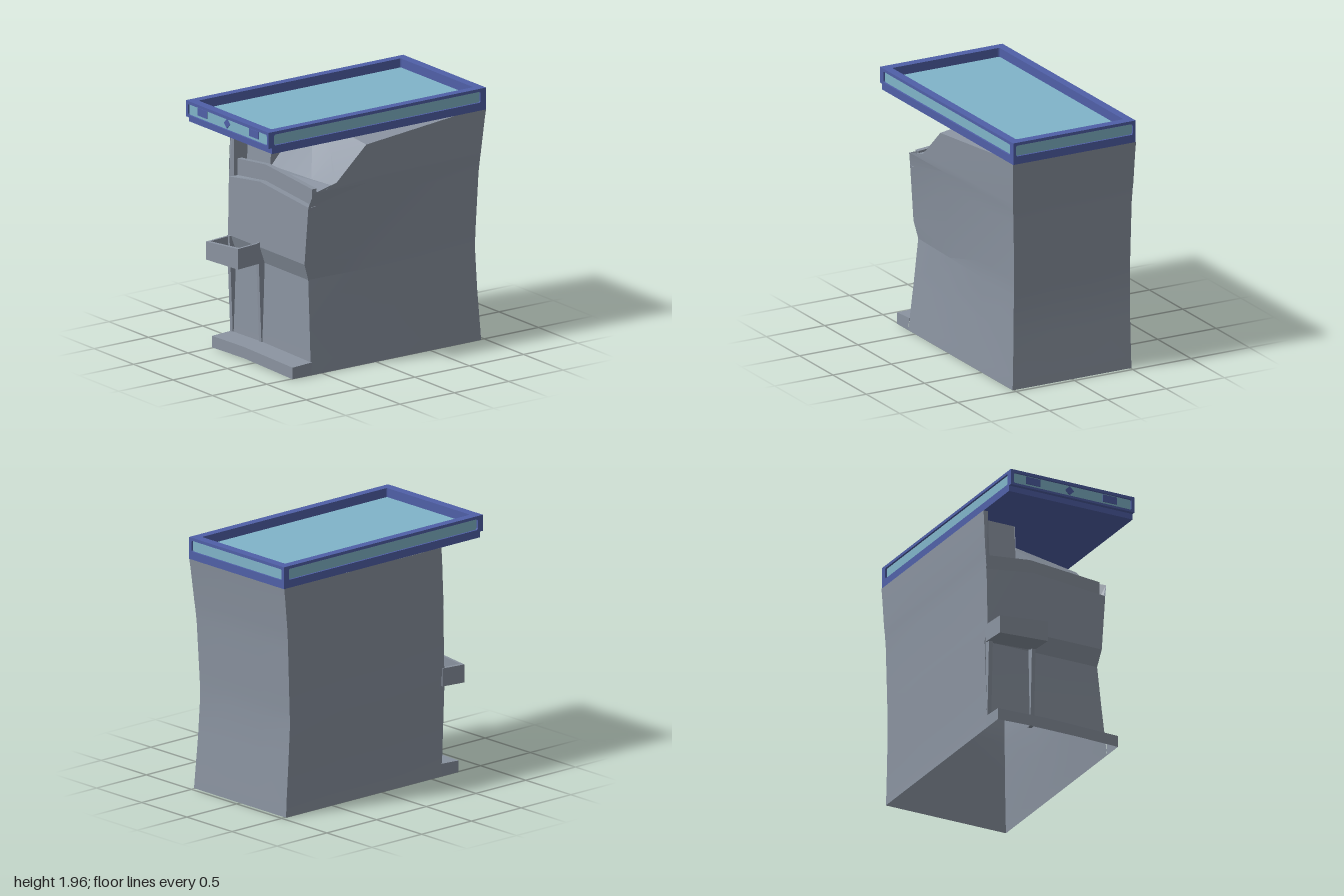
import * as THREE from 'three';
import { toCreasedNormals } from 'three/addons/utils/BufferGeometryUtils.js';

export function createModel() {
  const model = new THREE.Group();
  const grey = new THREE.MeshStandardMaterial({ name: 'grey shell', color: 0x8a93a0, side: THREE.DoubleSide });
  const blue = new THREE.MeshStandardMaterial({ name: 'blue frame', color: 0x5060a8 });
  const cyan = new THREE.MeshStandardMaterial({ name: 'cyan panel', color: 0x80b4c9 });

  const add = (name, geo, mat, parent = model) => {
    const mesh = new THREE.Mesh(geo, mat);
    mesh.name = name;
    parent.add(mesh);
    return mesh;
  };
  // box given by its limits on each axis
  const box = (name, x0, x1, y0, y1, z0, z1, mat = grey, parent = model) =>
    add(name, new THREE.BoxGeometry(x1 - x0, y1 - y0, z1 - z0)
      .translate((x0 + x1) / 2, (y0 + y1) / 2, (z0 + z1) / 2), mat, parent);
  // sheet joining rows of points, all rows equally long
  const sheet = (name, rows) => {
    const n = rows[0].length, index = [];
    for (let r = 0; r < rows.length - 1; r++) {
      for (let c = 0; c < n - 1; c++) {
        const a = r * n + c;
        index.push(a, a + 1, a + n + 1, a, a + n + 1, a + n);
      }
    }
    const geo = new THREE.BufferGeometry();
    geo.setAttribute('position', new THREE.Float32BufferAttribute(rows.flat(2), 3));
    geo.setIndex(index);
    return add(name, toCreasedNormals(geo, 0.15), grey);
  };
  const mix = (a, b, t) => a.map((v, i) => v + (b[i] - v) * t);
  const across = (a, b) => [0, 0.33, 0.67, 1].map(t => mix(a, b, t));

  // levels: y, back z, left wall (front z, front x, back x), right wall (front z, x)
  const levels = [
    [0, -0.965, 0.60, 0.51, 0.51, 0.60, -0.51],
    [0.1, -0.96, 0.597, 0.50, 0.505, 0.597, -0.508],
    [0.4, -0.943, 0.585, 0.47, 0.49, 0.585, -0.51],
    [0.72, -0.93, 0.575, 0.44, 0.48, 0.575, -0.515],
    [0.85, -0.935, 0.62, 0.455, 0.48, 0.62, -0.515],
    [1.3, -0.952, 0.61, 0.49, 0.495, 0.61, -0.518],
    [1.41, -0.96, 0.58, 0.515, 0.503, 0.605, -0.522],
    [1.46, -0.965, 0.37, 0.517, 0.507, 0.60, -0.525],
    [1.71, -0.99, 0.10, 0.522, 0.52, 0.588, -0.527],
    [1.79, -1.0, -0.72, 0.525, 0.525, 0.58, -0.528],
  ];
  sheet('leftWall', levels.map(([y, zb, zf, xf, xb]) => across([xf, y, zf], [xb, y, zb])));
  sheet('rightWall', levels.map(([y, zb, , , , zf, x]) => across([x, y, zb], [x, y, zf])));
  sheet('backWall', levels.map(([y, zb, , , xb, , x]) => across([xb, y, zb], [x, y, zb])));

  // front wall ends in a peaked top with a narrow step behind it
  const frontRows = levels.slice(1, 6).map(([y, , zf, xf, , , x]) =>
    [[x, y, zf], [-0.12, y, zf], [xf, y, zf]]);
  frontRows[4][1][1] = 1.355;
  sheet('frontWall', frontRows);
  sheet('consoleStep', [frontRows[4], [[-0.51, 1.31, 0.55], [-0.12, 1.355, 0.55], [0.5, 1.3, 0.55]]]);

  // raised lip along the console
  const lip = new THREE.Shape([[-0.48, 1.31], [-0.12, 1.355], [0.47, 1.3], [0.47, 1.43], [-0.12, 1.48], [-0.48, 1.44]]
    .map(p => new THREE.Vector2(...p)));
  add('consoleLip', new THREE.ExtrudeGeometry(lip, { depth: 0.04, bevelEnabled: false }).translate(0, 0, 0.52), grey);
  sheet('consoleEnd', [[[0.47, 1.3, 0.55], [0.49, 1.3, 0.58]], [[0.47, 1.43, 0.53], [0.515, 1.41, 0.575]]]);

  // console floor and the inner walls under the roof
  sheet('consoleFloor', [
    [[-0.5, 1.41, 0.53], [-0.19, 1.44, 0.53], [0.515, 1.41, 0.53]],
    [[-0.5, 1.41, 0.46], [-0.19, 1.44, 0.46], [0.517, 1.44, 0.4]],
  ]);
  sheet('innerPanel', [
    [[-0.5, 1.41, 0.47], [-0.19, 1.41, 0.47]],
    [[-0.5, 1.79, 0.44], [-0.19, 1.79, 0.44]],
  ]);
  sheet('partition', [
    [[-0.185, 1.41, 0.47], [-0.185, 1.41, 0.14]],
    [[-0.185, 1.79, 0.44], [-0.185, 1.79, 0.14]],
  ]);
  const ridge = [[-0.1, 1.79, 0.14], [0.28, 1.6, 0.25], [0.517, 1.44, 0.4]];
  sheet('innerSlope', [
    [[-0.185, 1.79, 0.14], ...ridge],
    [[-0.185, 1.44, 0.46], [-0.1, 1.44, 0.455], [0.28, 1.44, 0.43], [0.517, 1.44, 0.4]],
  ]);
  sheet('upperSlope', [ridge, [[0.525, 1.79, -0.72], [0.522, 1.71, 0.1], [0.517, 1.46, 0.37]]]);
  sheet('rightJamb', [
    [[-0.52, 1.3, 0.608], [-0.48, 1.31, 0.59], [-0.48, 1.31, 0.46]],
    [[-0.528, 1.79, 0.58], [-0.49, 1.79, 0.58], [-0.49, 1.79, 0.44]],
  ]);

  // base ledge, hollow underneath
  const edge = (y, rise, z) => [[-0.51, y, z], [-0.11, y + rise, z], [0.51, y, z]];
  sheet('baseLedge', [edge(0.1, 0.01, 0.59), edge(0.09, 0.012, 0.77), edge(0, 0.014, 0.77)]);
  for (const x of [-0.51, 0.51]) {
    sheet('baseLedgeEnd', [[[x, 0, 0.6], [x, 0, 0.77]], [[x, 0.1, 0.59], [x, 0.09, 0.77]]]);
  }

  // upright posts, leaning out towards the top
  for (const [x0, x1, top] of [[-0.508, -0.475, 0.85], [-0.143, -0.112, 0.885]]) {
    const post = box('frontPost', x0, x1, 0.1, top, 0.56, 0.605);
    const p = post.geometry.attributes.position;
    for (let i = 0; i < p.count; i++) if (p.getY(i) > 0.5 && p.getZ(i) > 0.6) p.setZ(i, 0.635);
    post.geometry.computeVertexNormals();
  }

  // open tray, sheared so it climbs towards its inner end
  const tray = new THREE.Group();
  tray.name = 'tray';
  model.add(tray);
  box('trayFront', -0.52, -0.112, 0.69, 0.83, 0.795, 0.82, grey, tray);
  box('traySide', -0.52, -0.495, 0.69, 0.83, 0.6, 0.795, grey, tray);
  box('traySide', -0.137, -0.112, 0.69, 0.83, 0.6, 0.795, grey, tray);
  box('trayFloor', -0.495, -0.137, 0.69, 0.715, 0.6, 0.795, grey, tray);
  for (const part of tray.children) {
    const p = part.geometry.attributes.position;
    for (let i = 0; i < p.count; i++) {
      const t = (p.getX(i) + 0.52) / 0.408;
      p.setY(i, p.getY(i) + t * (p.getY(i) > 0.75 ? 0.04 : 0.02) + (0.82 - p.getZ(i)) * 0.06);
    }
    part.geometry.computeVertexNormals();
  }

  // roof: base slab, hollow top ring, sunken top panel
  const roof = new THREE.Group();
  roof.name = 'roof';
  model.add(roof);
  const rect = (path, x0, x1, y0, y1, r = 0) => {
    path.moveTo(x0 + r, y0).lineTo(x1 - r, y0).quadraticCurveTo(x1, y0, x1, y0 + r)
      .lineTo(x1, y1 - r).quadraticCurveTo(x1, y1, x1 - r, y1)
      .lineTo(x0 + r, y1).quadraticCurveTo(x0, y1, x0, y1 - r)
      .lineTo(x0, y0 + r).quadraticCurveTo(x0, y0, x0 + r, y0);
    return path;
  };
  const frame = (outer, inner, depth) => {
    const shape = rect(new THREE.Shape(), ...outer);
    shape.holes.push(rect(new THREE.Path(), ...inner));
    return new THREE.ExtrudeGeometry(shape, { depth, bevelEnabled: false, curveSegments: 4 });
  };
  box('roofBase', -0.525, 0.525, 1.79, 1.835, -1, 0.97, blue, roof);
  add('roofRing', frame([-0.505, 0.505, -0.98, 0.98], [-0.46, 0.46, -0.93, 0.93, 0.015], 0.125)
    .rotateX(-Math.PI / 2).translate(0, 1.835, 0), blue, roof);
  box('topPanel', -0.462, 0.462, 1.83, 1.89, -0.932, 0.932, cyan, roof);

  // four recessed light strips with their frames
  for (let i = 0; i < 4; i++) {
    const long = i % 2 === 1;
    const w = long ? 1 : 0.525, d = long ? 0.505 : 0.98, h = long ? 0.95 : 0.5;
    const outer = long ? w - 0.02 : w;
    const strip = new THREE.Group();
    strip.name = 'lightStrip';
    strip.rotation.y = i * Math.PI / 2;
    roof.add(strip);
    add('stripFrame', frame([-outer, outer, 1.835, 1.96], [-h, h, 1.852, 1.937, 0.015], 0.02)
      .translate(0, 0, d), blue, strip);
    box('stripPanel', -h - 0.005, h + 0.005, 1.845, 1.945, d - 0.002, d + 0.005, cyan, strip);
  }
  // underside of the front overhang and painted front marks
  box('frontTrim', -0.49, 0.49, 1.842, 1.848, 0.985, 0.999, blue, roof);
  box('frontMark', -0.39, -0.27, 1.872, 1.93, 0.984, 0.991, blue, roof);
  box('frontMark', 0.26, 0.38, 1.872, 1.93, 0.984, 0.991, blue, roof);
  add('frontDiamond', new THREE.BoxGeometry(0.052, 0.052, 0.007).rotateZ(Math.PI / 4)
    .translate(-0.02, 1.897, 0.988), blue, roof);

  return model;
}
